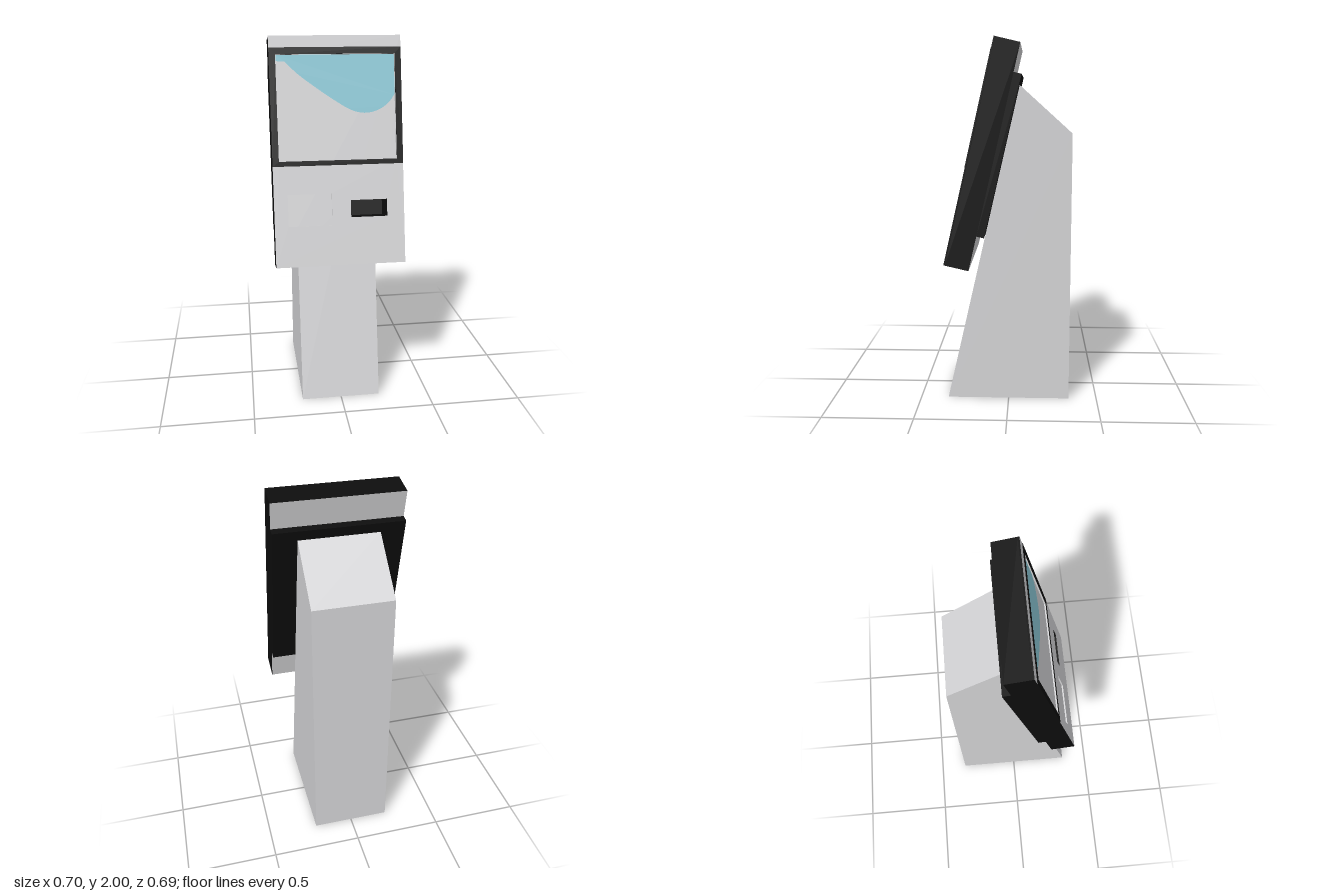
import * as THREE from 'three';

const mat = (name, color) => {
  const m = new THREE.MeshStandardMaterial({ color });
  m.name = name;
  return m;
};

// Rectangle outline as a shape or a hole, from its four limits
function rect(x0, x1, y0, y1, Type = THREE.Shape) {
  const s = new Type();
  s.moveTo(x0, y0);
  s.lineTo(x1, y0);
  s.lineTo(x1, y1);
  s.lineTo(x0, y1);
  s.closePath();
  return s;
}

// Rectangular plate with rectangular holes, from z = back to z = front
function plate(name, outer, holes, back, front, material) {
  const shape = rect(...outer);
  holes.forEach((h) => shape.holes.push(rect(...h, THREE.Path)));
  const geo = new THREE.ExtrudeGeometry(shape, { depth: front - back, bevelEnabled: false });
  geo.translate(0, 0, back);
  const mesh = new THREE.Mesh(geo, material);
  mesh.name = name;
  return mesh;
}

export function createModel() {
  const grey = mat('light grey', 0xd4d4d6);
  const black = mat('black', 0x0d0d0d);
  const cyan = mat('pale cyan', 0x8cc8d6);
  const kiosk = new THREE.Group();
  kiosk.name = 'kiosk';

  // Wedge-shaped stand: side profile extruded across x
  const profile = new THREE.Shape([
    [-0.345, 0], [0.342, 0], [0.342, 1.505], [0.058, 1.76],
  ].map(([x, y]) => new THREE.Vector2(x, y)));
  const standGeo = new THREE.ExtrudeGeometry(profile, { depth: 0.44, bevelEnabled: false });
  standGeo.translate(0, 0, -0.22);
  standGeo.rotateY(Math.PI / 2);
  const stand = new THREE.Mesh(standGeo, grey);
  stand.name = 'stand';
  kiosk.add(stand);

  // Tilted console: local y runs up the face, local z points out of it
  const head = new THREE.Group();
  head.name = 'console';
  head.position.set(0, 0.81, 0.345);
  head.rotation.x = -Math.atan2(0.275, 1.19);
  kiosk.add(head);

  const body = [-0.352, 0.352, 0, 1.221];
  const screen = [-0.318, 0.318, 0.565, 1.124];
  const panel = [-0.28, -0.04, 0.216, 0.39];
  const slot = [0.06, 0.258, 0.257, 0.349];
  const recess = 0.008;

  // Grey faces, black edges; the slot runs deep, screen and panel are shallow
  head.add(plate('consoleBody', body, [slot], -0.138, -recess, [grey, black]));
  head.add(plate('frontPlate', body, [screen, panel, slot], -recess, 0, [grey, black]));
  head.add(plate('backHousing', [-0.352, 0.352, 0.194, 1.07], [], -0.18, -0.138, black));
  head.add(plate('screenBezel', [-0.352, 0.352, 0.539, 1.16], [screen], 0, 0.002, black));

  // Grey linings on the walls of the shallow recesses
  const inset = ([a, b, c, d], t) => [a + t, b - t, c + t, d - t];
  [['screenLining', screen], ['panelLining', panel]].forEach(([name, r]) =>
    head.add(plate(name, r, [inset(r, 0.002)], -recess, 0, grey)));

  // Curved cyan area across the top of the screen
  const glare = new THREE.Shape();
  glare.moveTo(0.316, 1.122);
  glare.lineTo(-0.316, 1.122);
  glare.lineTo(-0.316, 1.09);
  glare.lineTo(-0.27, 1.088);
  glare.splineThru([
    [-0.2, 1.02], [-0.1, 0.944], [0, 0.875], [0.08, 0.829], [0.15, 0.813],
    [0.22, 0.826], [0.28, 0.864], [0.316, 0.912],
  ].map(([x, y]) => new THREE.Vector2(x, y)));
  glare.closePath();
  const glareMesh = new THREE.Mesh(new THREE.ShapeGeometry(glare, 5), cyan);
  glareMesh.name = 'screenGraphic';
  glareMesh.position.z = -recess + 0.002;
  head.add(glareMesh);

  return kiosk;
}
